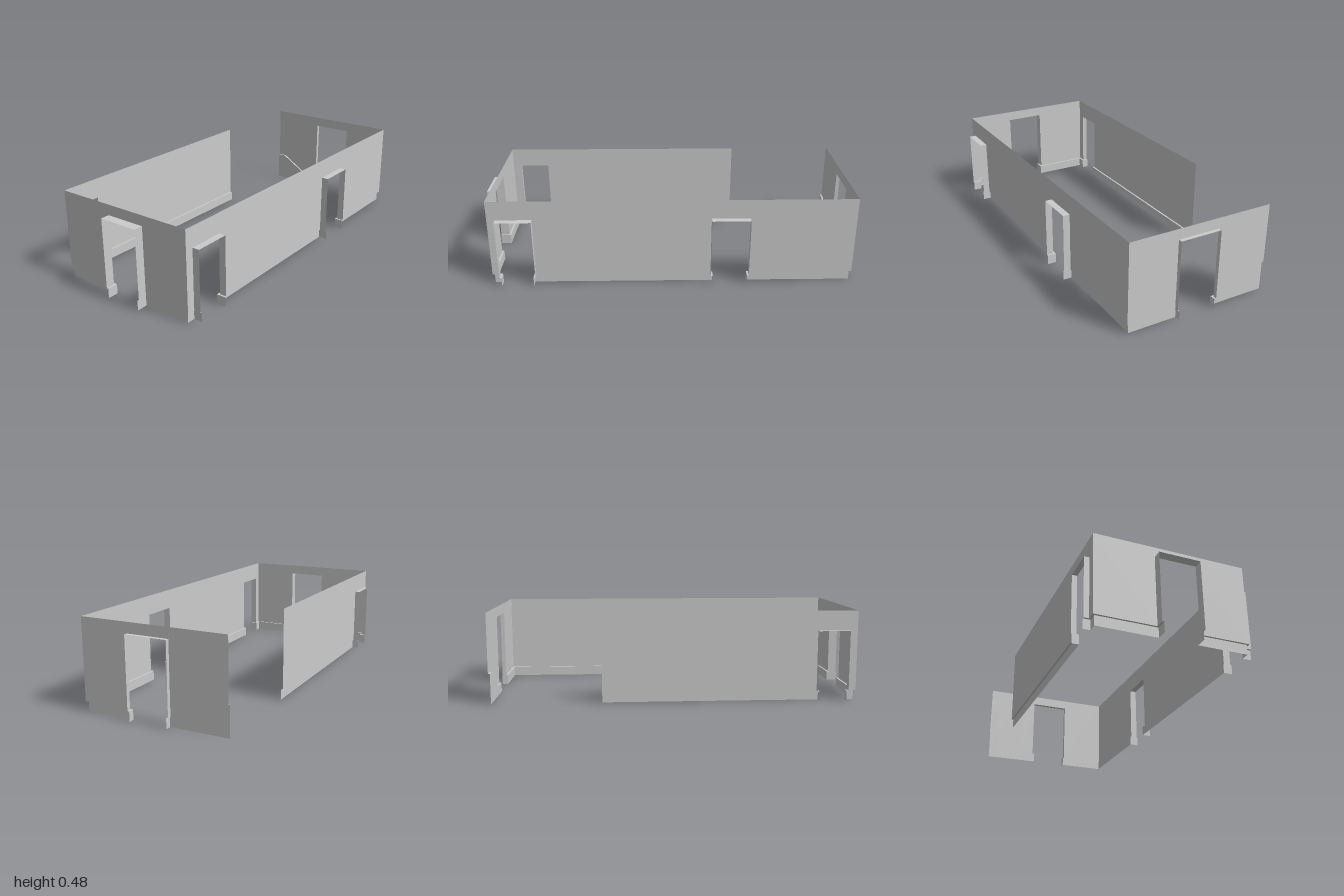
import * as THREE from 'three';

const TOP = 0.477;   // wall height
const BASE = 0.052;  // baseboard height
const INSET = 0.01;  // baseboard offset into the room
const SIDE_DOOR = 0.422, MAIN_DOOR = 0.372; // door heights

const material = new THREE.MeshStandardMaterial({ color: 0xcccccc, flatShading: true, side: THREE.DoubleSide });

// One mesh from a list of four-cornered faces
function quadMesh(name, quads) {
  const positions = [];
  for (const [a, b, c, d] of quads) positions.push(...a, ...b, ...c, ...a, ...c, ...d);
  const geometry = new THREE.BufferGeometry();
  geometry.setAttribute('position', new THREE.Float32BufferAttribute(positions, 3));
  geometry.computeVertexNormals();
  const mesh = new THREE.Mesh(geometry, material);
  mesh.name = name;
  return mesh;
}

// Shift a plan path into the room, with mitred corners
function insetPath(path) {
  const normals = path.slice(1).map((p, i) => {
    const dx = p[0] - path[i][0], dz = p[1] - path[i][1], len = Math.hypot(dx, dz);
    return [dz / len, -dx / len];
  });
  return path.map(([x, z], i) => {
    const n = normals[Math.max(i - 1, 0)], m = normals[Math.min(i, normals.length - 1)];
    const k = INSET / (1 + n[0] * m[0] + n[1] * m[1]);
    return [x + (n[0] + m[0]) * k, z + (n[1] + m[1]) * k];
  });
}

// Wall run between two doorways; its end segments may be door reveals.
// Path points are [x, z, baseboard height], with the room on the left side.
function wallRun(name, path, startReveal, endReveal) {
  const inner = insetPath(path);
  const walls = [], ledges = [], boards = [];
  for (let i = 0; i < path.length - 1; i++) {
    const [ax, az, ah = BASE] = path[i], [bx, bz, bh = BASE] = path[i + 1];
    const [px, pz] = inner[i], [qx, qz] = inner[i + 1];
    let top = TOP;
    if (i === 0 && startReveal) top = startReveal;
    if (i === path.length - 2 && endReveal) top = endReveal;
    walls.push([[bx, bh, bz], [ax, ah, az], [ax, top, az], [bx, top, bz]]);
    ledges.push([[qx, bh, qz], [px, ah, pz], [ax, ah, az], [bx, bh, bz]]);
    boards.push([[qx, 0, qz], [px, 0, pz], [px, ah, pz], [qx, bh, qz]]);
  }
  const group = new THREE.Group();
  group.name = name;
  group.add(quadMesh('wallPanel', walls), quadMesh('baseboardLedge', ledges), quadMesh('baseboard', boards));
  return group;
}

// Wall above a doorway and the underside of its opening;
// a and b lie on the wall, [ox, oz] is the reveal depth
function doorHead(name, a, b, [ox, oz], height) {
  const group = new THREE.Group();
  group.name = name;
  group.add(
    quadMesh('lintel', [[[b[0], height, b[1]], [a[0], height, a[1]], [a[0], TOP, a[1]], [b[0], TOP, b[1]]]]),
    quadMesh('soffit', [[[a[0], height, a[1]], [b[0], height, b[1]],
      [b[0] + ox, height, b[1] + oz], [a[0] + ox, height, a[1] + oz]]]),
  );
  return group;
}

export function createModel() {
  const model = new THREE.Group();
  model.name = 'roomShell';
  const L = -0.952, R = 0.979, F = 0.39, B = -0.4; // wall planes
  const FO = 0.427, BO = -0.427;                   // outer edges of reveals

  model.add(
    wallRun('frontWall', [[-0.718, FO], [-0.718, F], [0.217, F], [0.217, FO]], MAIN_DOOR, MAIN_DOOR),
    wallRun('frontLeftCorner', [[0.42, FO], [0.42, F], [R, F], [R, 0.127], [1, 0.127]], MAIN_DOOR, SIDE_DOOR),
    // the baseboard rises beside the missing stair
    wallRun('stairWall', [[1, -0.098], [R, -0.098], [R, -0.173], [R, -0.352, 0.162], [R, B, 0.162]], SIDE_DOOR, 0),
    wallRun('backWall', [[0.395, B], [-0.741, B], [-0.741, BO]], 0, MAIN_DOOR),
    wallRun('backRightCorner', [[-0.906, BO], [-0.906, B], [L, B], [L, -0.09], [-1, -0.09]], MAIN_DOOR, SIDE_DOOR),
    wallRun('frontRightCorner', [[-1, 0.127], [L, 0.127], [L, F], [-0.908, F], [-0.908, FO]], SIDE_DOOR, MAIN_DOOR),

    doorHead('frontRightDoorHead', [-0.908, F], [-0.718, F], [0, FO - F], MAIN_DOOR),
    doorHead('frontLeftDoorHead', [0.217, F], [0.42, F], [0, FO - F], MAIN_DOOR),
    doorHead('leftDoorHead', [R, 0.127], [R, -0.098], [1 - R, 0], SIDE_DOOR),
    doorHead('backDoorHead', [-0.741, B], [-0.906, B], [0, BO - B], MAIN_DOOR),
    doorHead('rightDoorHead', [L, -0.09], [L, 0.127], [-1 - L, 0], SIDE_DOOR),
  );
  return model;
}
